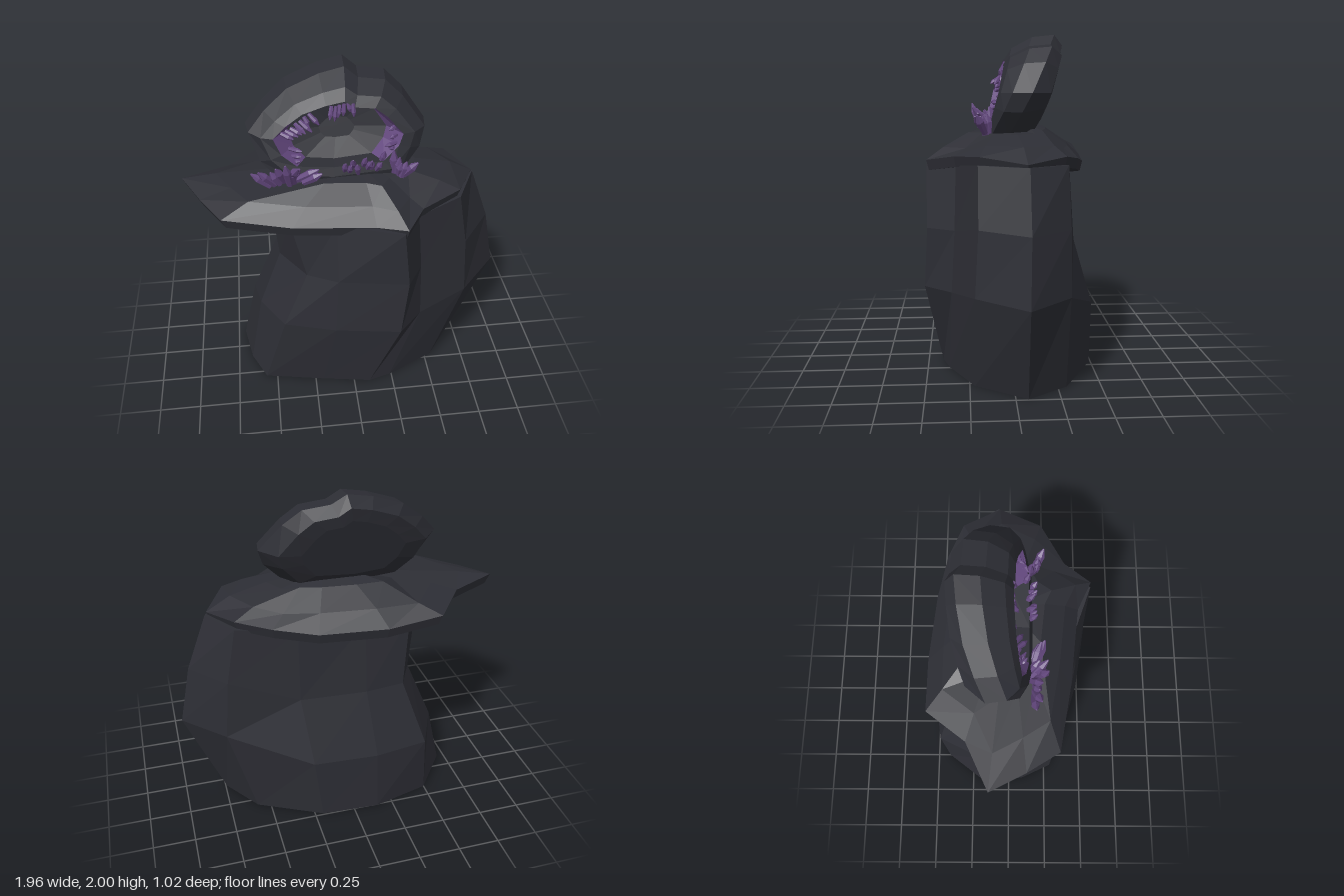
import * as THREE from 'three';

const rock = new THREE.MeshStandardMaterial({ color: 0x2d2e35 });
rock.name = 'dark rock';
const amethyst = new THREE.MeshStandardMaterial({ color: 0x64487f });
amethyst.name = 'purple crystal';

// Skin a list of equal-length rings with flat facets; caps are optional fans.
function loft(rings, capStart, capEnd) {
  const n = rings[0].length, pos = rings.flat(2), index = [];
  const at = (r, j) => r * n + (j % n);
  for (let r = 0; r < rings.length - 1; r++) {
    for (let j = 0; j < n; j++) {
      const a = at(r, j), b = at(r, j + 1), c = at(r + 1, j + 1), d = at(r + 1, j);
      index.push(a, b, c, a, c, d);
    }
  }
  const cap = (r, flip) => {
    const mid = [0, 1, 2].map(k => rings[r].reduce((s, p) => s + p[k], 0) / n);
    const m = pos.length / 3;
    pos.push(...mid);
    for (let j = 0; j < n; j++) {
      if (flip) index.push(m, at(r, j + 1), at(r, j));
      else index.push(m, at(r, j), at(r, j + 1));
    }
  };
  if (capStart) cap(0, true);
  if (capEnd) cap(rings.length - 1, false);
  const g = new THREE.BufferGeometry();
  g.setAttribute('position', new THREE.Float32BufferAttribute(pos, 3));
  g.setIndex(index);
  const flat = g.toNonIndexed();
  flat.computeVertexNormals();
  return flat;
}

function add(group, name, geometry, material) {
  const mesh = new THREE.Mesh(geometry, material);
  mesh.name = name;
  group.add(mesh);
  return mesh;
}

// Leaning boulder: sections of [x, z] from front left round to the right;
// y is given for the front, right and back points of each section.
function boulder() {
  const sections = [
    [[0, 0, 0], [[-.57, .29], [-.2, .36], [.1, .41], [.24, .37], [.54, .22], [.74, -.07], [.58, -.3], [.2, -.49], [-.15, -.51], [-.5, -.42], [-.705, -.15], [-.66, .1]]],
    [[.52, .57, .4], [[-.43, .36], [-.12, .45], [.27, .51], [.42, .35], [.73, .22], [.98, -.06], [.74, -.3], [.25, -.49], [-.14, -.51], [-.47, -.46], [-.61, -.17], [-.57, .13]]],
    [[.88, .94, .8], [[-.28, .33], [-.1, .42], [.31, .49], [.41, .33], [.71, .2], [.91, -.07], [.71, -.3], [.3, -.37], [-.1, -.39], [-.34, -.36], [-.44, -.17], [-.43, .1]]],
    [[1.25, 1.28, 1.24], [[-.37, .28], [-.1, .36], [.27, .49], [.38, .32], [.65, .2], [.785, -.07], [.65, -.29], [.3, -.34], [-.1, -.34], [-.38, -.32], [-.48, -.16], [-.47, .08]]],
  ];
  return loft(sections.map(([y, pts]) =>
    pts.map(([x, z], i) => [x, y[i < 4 || i > 10 ? 0 : i < 7 ? 1 : 2], z])), true, true);
}

// Overhanging slab on the boulder, flush with it on the right: rim is [x, z, y].
function ledge() {
  const rim = [[-.75, .29, 1.27], [-.35, .36, 1.23], [.12, .41, 1.23], [.29, .49, 1.25], [.4, .33, 1.28],
    [.645, .19, 1.3], [.775, -.06, 1.27], [.645, -.28, 1.3], [.45, -.37, 1.27], [.2, -.43, 1.23],
    [-.2, -.47, 1.23], [-.52, -.47, 1.27], [-.7, -.24, 1.3], [-.98, -.11, 1.31], [-.87, .1, 1.29]];
  const ring = (s, height) => rim.map(([x, z, y]) =>
    [.05 + (x - .05) * s, height(y, x, z), z * s]);
  return loft([
    ring(.52, () => 1.18),
    ring(.97, y => y - .035),
    ring(1, y => y + .025),
    ring(.8, (y, x, z) => x > .5 ? 1.375 : Math.abs(z) > .3 ? 1.345 : 1.37),
    ring(.5, (y, x, z) => z < -.3 ? 1.44 : x < -.6 ? 1.4 : 1.425),
    ring(.25, (y, x, z) => z < -.3 ? 1.47 : 1.435),
  ], true, true);
}

// Geode outline facing the front, anticlockwise.
const outline = [[.465, 1.66], [.34, 1.83], [.24, 1.92], [.08, 1.94], [0, 2], [-.15, 1.97], [-.34, 1.9],
  [-.48, 1.79], [-.58, 1.68], [-.52, 1.52], [-.4, 1.4], [-.1, 1.37], [.3, 1.4], [.43, 1.55]];
function geodeRing(sx, sy, z, tilt) {
  return outline.map(([x, y]) => {
    const py = 1.65 + (y - 1.65) * sy;
    return [-.055 + (x + .055) * sx, py, z - tilt * (py - 1.65)];
  });
}

// Six-sided pointed crystal, base at the origin, growing along +y.
function crystalGeometry() {
  const hex = (r, y) => Array.from({ length: 6 }, (_, i) => {
    const a = -i * Math.PI / 3;
    return [Math.cos(a) * r, y, Math.sin(a) * r];
  });
  return loft([hex(.75, 0), hex(1, .65), hex(.2, 1)], true, true);
}

export function createModel() {
  const model = new THREE.Group();
  model.name = 'geodeRock';
  add(model, 'boulder', boulder(), rock);
  add(model, 'ledge', ledge(), rock);

  // Hollow shell leaning back, with a dark floor
  const geode = new THREE.Group();
  geode.name = 'geode';
  model.add(geode);
  const lip = geodeRing(.71, .58, .075, .25);
  const floor = geodeRing(.55, .58, -.03, .3);
  add(geode, 'shell', loft([
    geodeRing(.58, .6, -.24, .35),
    geodeRing(.82, .82, -.22, .38),
    geodeRing(1, 1, -.105, .5),
    geodeRing(.97, .96, .005, .45),
    geodeRing(.84, .77, .065, .32),
    lip,
  ], true, false), rock);
  add(geode, 'innerFloor', loft([floor, geodeRing(.2, .2, -.06, .3)], false, true), rock);

  // Inner wall: purple all round except along the bottom
  const wall = loft([lip, floor], false, false);
  outline.forEach((_, j) => wall.addGroup(j * 6, 6, j === 10 || j === 11 ? 0 : 1));
  add(geode, 'innerWall', wall, [rock, amethyst]);

  // Crystal clusters: start, end, growth direction at each end, count, length
  const clusters = [
    ['leftOuter', [-.46, 1.41, .13], [-.32, 1.42, .15], [-.8, .8, .2], [-.2, 1, .3], 6, .14],
    ['leftInner', [-.36, 1.43, .11], [-.27, 1.43, .14], [.4, .8, .4], [.9, .6, .3], 5, .14],
    ['bottom', [-.03, 1.44, .1], [.18, 1.46, .1], [-.1, 1, .6], [.3, 1, .5], 9, .1],
    ['rightOuter', [.26, 1.4, .12], [.31, 1.42, .14], [-.1, 1, .3], [.6, 1, .3], 5, .14],
    ['rightWall', [.28, 1.52, .06], [.28, 1.68, .03], [-.8, .3, .5], [-.8, -.2, .5], 5, .07],
    ['upperLeft', [-.38, 1.68, .03], [-.22, 1.79, .02], [.9, -.2, .4], [.5, -.7, .4], 7, .08],
    ['top', [-.09, 1.83, .01], [.03, 1.83, .01], [-.1, -1, .3], [.1, -1, .3], 6, .07],
    ['leftWall', [-.33, 1.5, .05], [-.34, 1.58, .03], [.8, .3, .5], [.8, 0, .5], 3, .07],
  ];
  let seed = 7;
  const rand = () => (seed = (seed * 16807) % 2147483647) / 2147483647;
  const jitter = s => (rand() - .5) * s;
  const shape = crystalGeometry();
  const up = new THREE.Vector3(0, 1, 0);
  for (const [name, p0, p1, d0, d1, count, length] of clusters) {
    const group = new THREE.Group();
    group.name = name + 'Crystals';
    for (let i = 0; i < count; i++) {
      const t = i / (count - 1);
      const mix = (a, b) => new THREE.Vector3(...a).lerp(new THREE.Vector3(...b), t);
      const dir = mix(d0, d1).add(new THREE.Vector3(jitter(.4), jitter(.3), jitter(.4))).normalize();
      const crystal = add(group, 'crystal', shape, amethyst);
      crystal.position.copy(mix(p0, p1)).add(new THREE.Vector3(0, jitter(.02), jitter(.04)));
      crystal.quaternion.setFromUnitVectors(up, dir);
      const l = length * (.75 + rand() * .5), r = length * .15 + .004;
      crystal.scale.set(r, l, r);
    }
    model.add(group);
  }
  return model;
}
